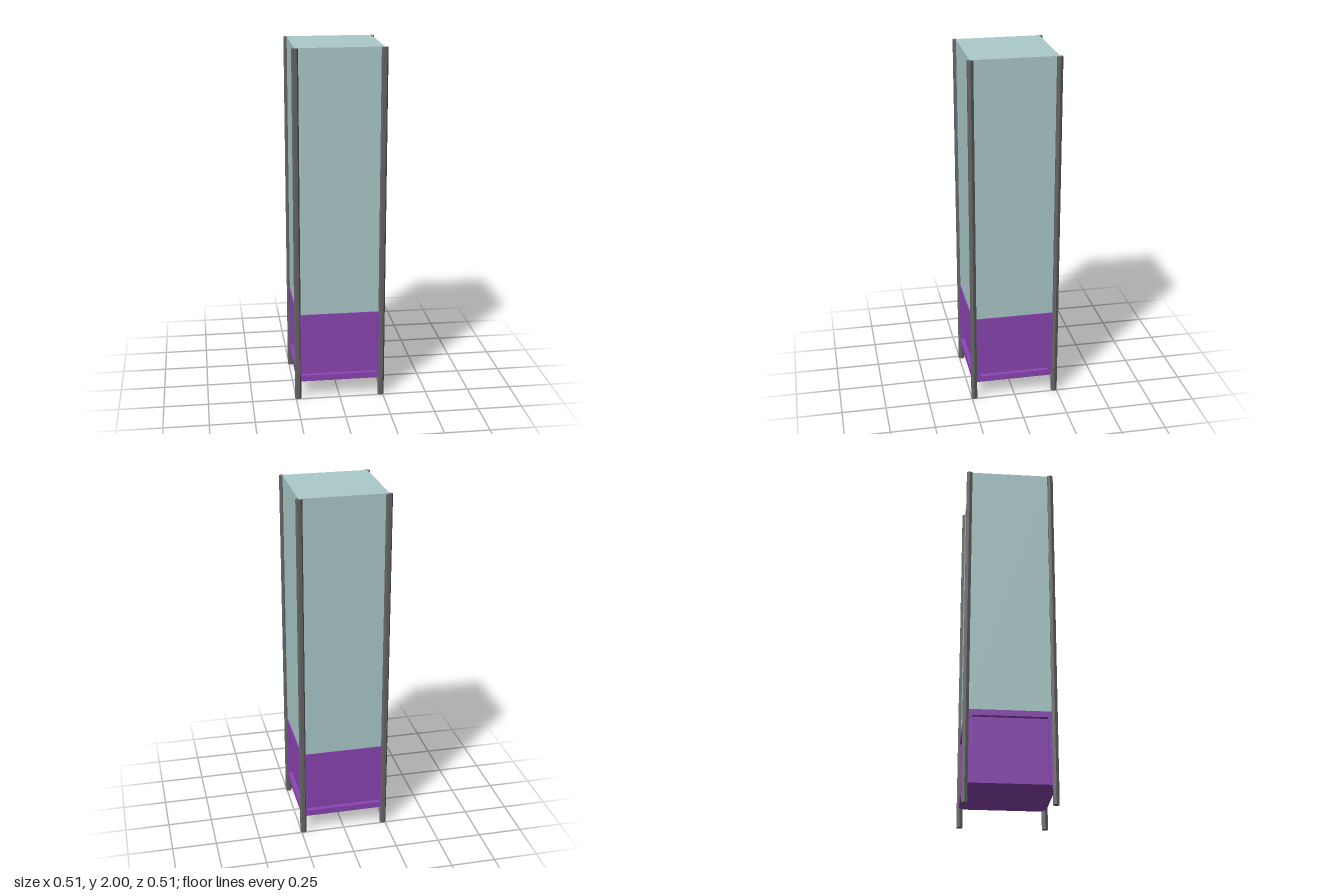
import * as THREE from 'three';

const purple = new THREE.MeshStandardMaterial({ color: 0x8a45b2 });
purple.name = 'purple';
const grey = new THREE.MeshStandardMaterial({ color: 0x646464 });
grey.name = 'dark grey';
const glass = new THREE.MeshStandardMaterial({ color: 0xabc9c9 });
glass.name = 'pale glass';

const BOTTOM = 0.105, TOP = 0.51, DEPTH = 0.025;
const OUT_X = 0.245, OUT_Z = 0.243;

function add(parent, name, geometry, material, x = 0, y = 0, z = 0) {
  const mesh = new THREE.Mesh(geometry, material);
  mesh.name = name;
  mesh.position.set(x, y, z);
  parent.add(mesh);
  return mesh;
}

// Rectangular frame with an opening, facing +z
function frameGeometry(halfWidth, halfOpening) {
  const shape = new THREE.Shape([
    new THREE.Vector2(-halfWidth, BOTTOM), new THREE.Vector2(halfWidth, BOTTOM),
    new THREE.Vector2(halfWidth, TOP), new THREE.Vector2(-halfWidth, TOP),
  ]);
  shape.holes.push(new THREE.Path([
    new THREE.Vector2(-halfOpening, 0.14), new THREE.Vector2(-halfOpening, 0.477),
    new THREE.Vector2(halfOpening, 0.477), new THREE.Vector2(halfOpening, 0.14),
  ]));
  return new THREE.ExtrudeGeometry(shape, { depth: DEPTH, bevelEnabled: false });
}

export function createModel() {
  const model = new THREE.Group();
  model.name = 'displayCase';

  // Glass cabinet
  add(model, 'glassBox', new THREE.BoxGeometry(0.48, 2 - TOP, 0.475), glass, 0, (2 + TOP) / 2, 0);

  // Recessed base panels
  const coreX = OUT_X - DEPTH, coreZ = OUT_Z - DEPTH;
  add(model, 'basePanels', new THREE.BoxGeometry(2 * coreX, TOP - BOTTOM, 2 * coreZ), purple,
    0, (TOP + BOTTOM) / 2, 0);

  // Raised frames on the four sides of the base
  const wide = frameGeometry(OUT_X, 0.2175);
  const narrow = frameGeometry(coreZ, 0.2025);
  add(model, 'frontFrame', wide, purple, 0, 0, coreZ);
  add(model, 'backFrame', wide, purple, 0, 0, -coreZ).rotation.y = Math.PI;
  add(model, 'leftFrame', narrow, purple, coreX, 0, 0).rotation.y = Math.PI / 2;
  add(model, 'rightFrame', narrow, purple, -coreX, 0, 0).rotation.y = -Math.PI / 2;

  // Hexagonal corner posts, pointing along x
  const post = new THREE.CylinderGeometry(0.0185, 0.0185, 1.998, 6).rotateY(Math.PI / 2).toNonIndexed();
  post.computeVertexNormals();
  for (const sx of [-1, 1]) {
    for (const sz of [-1, 1]) {
      add(model, (sz > 0 ? 'front' : 'back') + (sx > 0 ? 'Left' : 'Right') + 'Post',
        post, grey, sx * 0.2385, 0.999, sz * 0.2365);
    }
  }
  return model;
}
